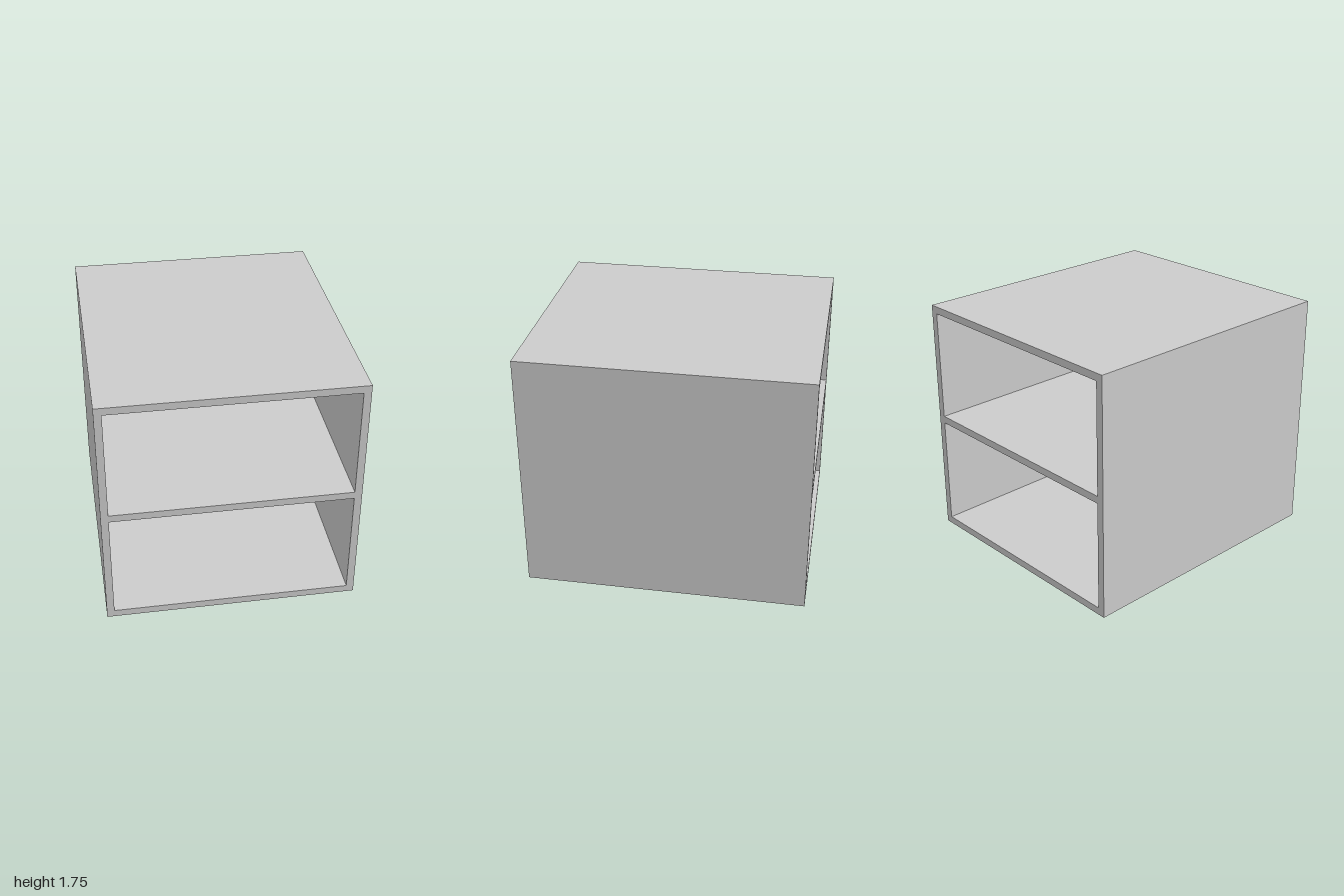
import * as THREE from 'three';

export function createModel() {
  const group = new THREE.Group();
  const material = new THREE.MeshStandardMaterial({ color: 0xcccccc });
  const width = 1.78, depth = 2, sideHeight = 1.7, board = 0.053;

  // A board centred on x and z unless offset, resting at height y
  function addBoard(name, w, h, x, y) {
    const mesh = new THREE.Mesh(new THREE.BoxGeometry(w, h, depth), material);
    mesh.name = name;
    mesh.position.set(x, y + h / 2, 0);
    group.add(mesh);
  }

  // Upright side panels
  for (const [name, side] of [['leftPanel', 1], ['rightPanel', -1]]) {
    addBoard(name, board, sideHeight, side * (width - board) / 2, 0);
  }

  // Top lies over the sides; shelves fit between them, open front and back
  addBoard('topPanel', width, board, 0, sideHeight);
  const inner = width - 2 * board;
  addBoard('middleShelf', inner, board, 0, 0.85);
  addBoard('bottomShelf', inner, board, 0, 0);

  return group;
}
